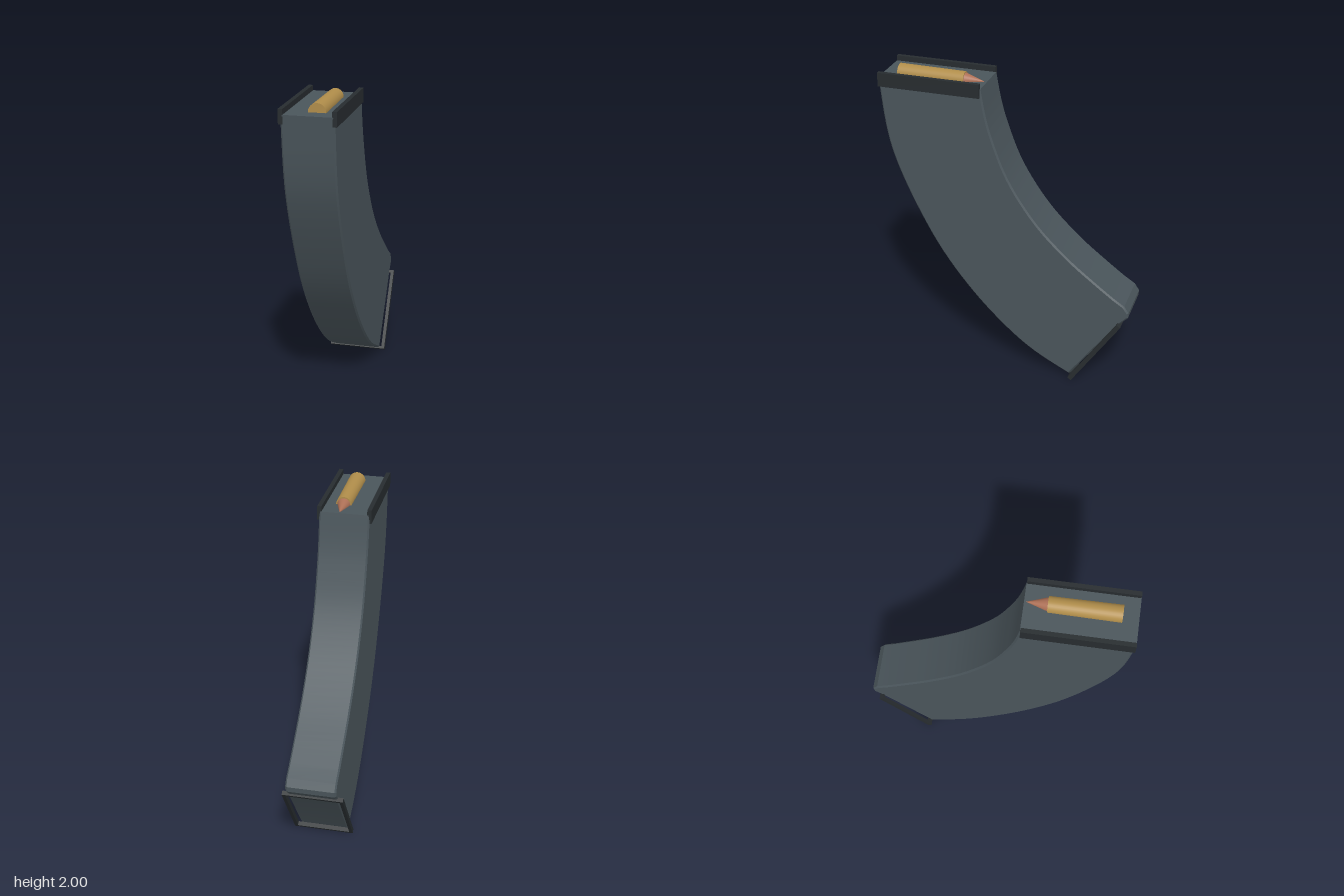
import * as THREE from 'three';
import { toCreasedNormals } from 'three/addons/utils/BufferGeometryUtils.js';

const material = (color) => new THREE.MeshStandardMaterial({ color });
const points = (list) => list.map(([z, y]) => new THREE.Vector2(z, y));

export function createModel() {
  const model = new THREE.Group();
  const steel = material(0x4a555b), dark = material(0x272c2f);
  const brass = material(0xb08d4a), copper = material(0xac6f55);

  const add = (name, geometry, mat, x = 0, y = 0, z = 0) => {
    const mesh = new THREE.Mesh(geometry, mat);
    mesh.name = name;
    mesh.position.set(x, y, z);
    model.add(mesh);
    return mesh;
  };

  // Curved body: side profile (z, y) extruded across the width
  const outer = new THREE.SplineCurve(points([
    [0.81, 1.945], [0.775, 1.63], [0.716, 1.395], [0.59, 1.10], [0.425, 0.80],
    [0.217, 0.525], [-0.005, 0.30], [-0.20, 0.15], [-0.435, 0.025],
  ])).getPoints(40);
  const inner = new THREE.SplineCurve(points([
    [-0.71, 0.65], [-0.583, 0.745], [-0.42, 0.875], [-0.24, 1.05], [-0.106, 1.225],
    [0, 1.41], [0.08, 1.62], [0.122, 1.77], [0.154, 1.945],
  ])).getPoints(40);
  const heel = points([[-0.755, 0.472], [-0.807, 0.525], [-0.81, 0.56], [-0.78, 0.605]]);
  const width = 0.315, bevel = 0.01;
  const body = new THREE.ExtrudeGeometry(new THREE.Shape([...outer, ...heel, ...inner]), {
    depth: width - 2 * bevel, bevelSize: bevel, bevelThickness: bevel,
    bevelOffset: -bevel, bevelSegments: 1,
  });
  body.translate(0, 0, -width / 2 + bevel).rotateY(-Math.PI / 2);
  add('body', toCreasedNormals(body, 0.4), steel);

  // Feed rails along both sides of the mouth
  for (const side of [-1, 1]) {
    add(side > 0 ? 'leftRail' : 'rightRail',
      new THREE.BoxGeometry(0.027, 0.088, 0.652), dark, side * 0.156, 1.934, 0.483);
  }

  // Rectangular rim around the lower end
  const rectangle = (Type, w, h) => new Type(points([
    [-w / 2, -h / 2], [w / 2, -h / 2], [w / 2, h / 2], [-w / 2, h / 2],
  ]));
  const rim = rectangle(THREE.Shape, 0.38, 0.56);
  rim.holes.push(rectangle(THREE.Path, 0.338, 0.525));
  const rimGeometry = new THREE.ExtrudeGeometry(rim, { depth: 0.028, bevelEnabled: false });
  rimGeometry.translate(0, 0, -0.014);
  add('baseRim', rimGeometry, dark, 0, 0.243, -0.602).rotation.x = -0.588;

  // Top cartridge, half sunk into the body and pointing back
  const casing = new THREE.CylinderGeometry(0.049, 0.053, 0.425, 32).rotateX(-Math.PI / 2);
  add('cartridgeCase', casing, brass, 0.031, 1.947, 0.5025);
  const tip = new THREE.ConeGeometry(0.041, 0.125, 32).rotateX(-Math.PI / 2);
  add('cartridgeTip', tip, copper, 0.031, 1.947, 0.2275);

  return model;
}
